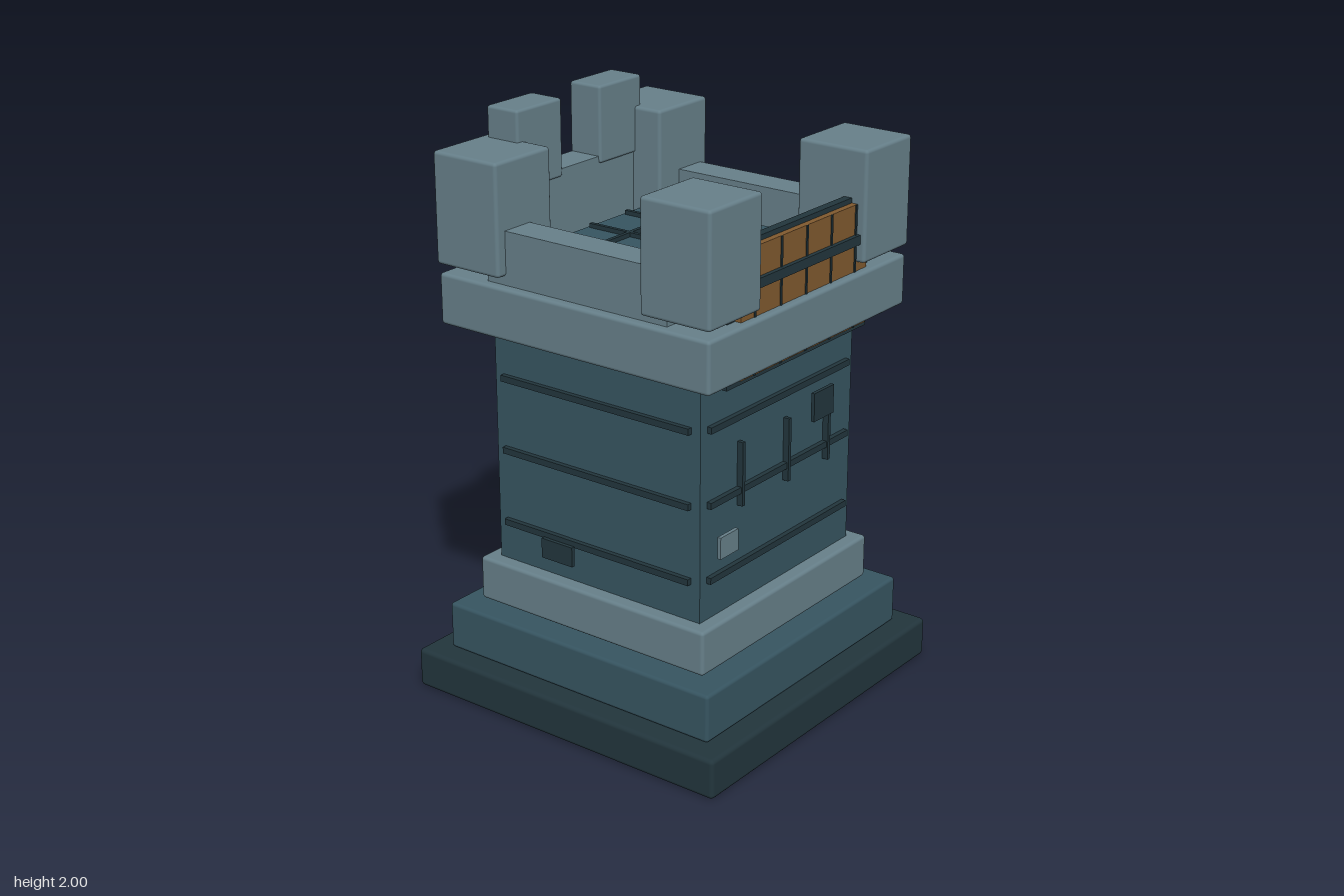
import * as THREE from 'three';
import { RoundedBoxGeometry } from 'three/addons/geometries/RoundedBoxGeometry.js';

const material = (name, color) => {
  const m = new THREE.MeshStandardMaterial({ color });
  m.name = name;
  return m;
};

export function createModel() {
  const tower = new THREE.Group();
  tower.name = 'watchtower';

  const dark = material('dark slate', 0x22353c);
  const teal = material('teal stone', 0x365460);
  const stone = material('pale stone', 0x667f89);
  const wood = material('wood', 0x80592f);

  // Box given by its limits on each axis; a radius rounds the edges.
  function block(name, mat, [x0, x1], [y0, y1], [z0, z1], radius = 0, parent = tower) {
    const size = [x1 - x0, y1 - y0, z1 - z0];
    const geometry = radius
      ? new RoundedBoxGeometry(...size, 2, radius)
      : new THREE.BoxGeometry(...size);
    const mesh = new THREE.Mesh(geometry, mat);
    mesh.name = name;
    mesh.position.set((x0 + x1) / 2, (y0 + y1) / 2, (z0 + z1) / 2);
    parent.add(mesh);
    return mesh;
  }
  const square = (name, mat, half, y, radius) =>
    block(name, mat, [-half, half], y, [-half, half], radius);

  // Stepped base, shaft and cornice
  square('base', dark, 0.627, [0, 0.14], 0.015);
  square('plinth', teal, 0.547, [0.14, 0.308], 0.012);
  square('collar', stone, 0.47, [0.32, 0.475], 0.012);
  square('shaft', teal, 0.42, [0.3, 1.33]);
  square('cornice', stone, 0.542, [1.315, 1.49], 0.012);

  // Wall detail, laid out on a face looking along +z and turned to its side
  function wallFace(name, angle, seams, seamY, bricks) {
    const face = new THREE.Group();
    face.name = name;
    face.rotation.y = angle;
    tower.add(face);
    for (const y of [0.615, 0.875, 1.13])
      block('mortarCourse', dark, [-0.385, 0.385], [y - 0.011, y + 0.011], [0.415, 0.437], 0, face);
    for (const x of seams)
      block('mortarSeam', dark, [x - 0.007, x + 0.007], seamY, [0.415, 0.442], 0, face);
    for (const [mat, x, y] of bricks)
      block('looseBrick', mat, x, y, [0.44, 0.453], 0, face);
  }
  wallFace('frontWall', 0, [-0.218, 0.036, 0.265], [0.82, 1.04], [
    [dark, [0.157, 0.27], [0.99, 1.09]],
    [stone, [-0.355, -0.26], [0.685, 0.76]],
  ]);
  wallFace('leftWall', Math.PI / 2, [-0.247, 0.015, 0.277], [0.87, 1.07], [
    [dark, [0.207, 0.305], [1.12, 1.215]],
    [stone, [-0.24, -0.122], [0.77, 0.855]],
  ]);
  wallFace('rightWall', -Math.PI / 2, [], [0, 0], [
    [dark, [-0.21, -0.08], [0.54, 0.61]],
  ]);

  // Roof floor with its joint grid
  square('roofFloor', teal, 0.364, [1.48, 1.545]);
  for (const p of [-0.19, 0, 0.19]) {
    block('floorJoint', dark, [p - 0.007, p + 0.007], [1.54, 1.56], [-0.355, 0.355]);
    block('floorJoint', dark, [-0.355, 0.355], [1.54, 1.56], [p - 0.007, p + 0.007]);
  }

  // Corner towers and side parapets
  for (const s of [-1, 1]) {
    const span = (a, b) => (s > 0 ? [a, b] : [-b, -a]);
    for (const z of [[0.283, 0.547], [-0.547, -0.283]])
      block('cornerTower', stone, span(0.283, 0.547), [1.52, 1.895], z, 0.012);
    block('sideParapet', stone, span(0.39, 0.51), [1.485, 1.67], [-0.36, 0.36]);
    block('backMerlon', stone, span(0.097, 0.318), [1.735, 2], [-0.52, -0.39], 0.01);
  }
  block('backParapet', stone, [-0.38, 0.38], [1.485, 1.76], [-0.513, -0.398]);

  // Wooden shield on the front of the parapet
  block('shieldBacking', dark, [-0.385, 0.385], [1.275, 1.732], [0.463, 0.493]);
  block('shieldBoards', wood, [-0.345, 0.345], [1.3, 1.715], [0.493, 0.515]);
  for (const x of [-0.275, -0.137, 0, 0.137, 0.275])
    block('boardSeam', dark, [x - 0.004, x + 0.004], [1.3, 1.715], [0.513, 0.519]);
  block('shieldRail', dark, [-0.37, 0.37], [1.583, 1.615], [0.513, 0.53]);

  return tower;
}
